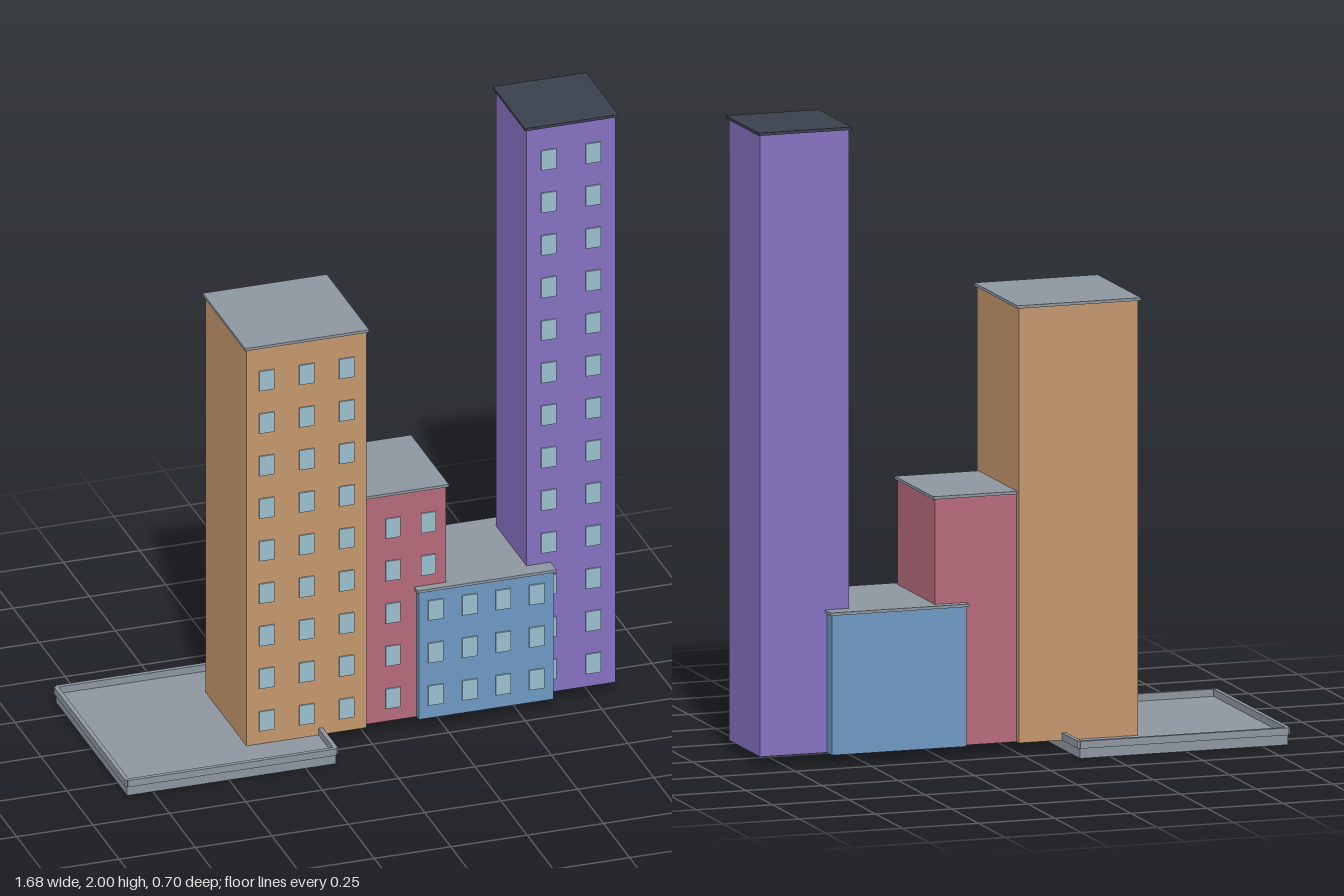
import * as THREE from 'three';

const mat = (name, color) => {
  const m = new THREE.MeshStandardMaterial({ color });
  m.name = name;
  return m;
};

export function createModel() {
  const roofGrey = mat('roof grey', 0x8d969f);
  const roofDark = mat('dark roof', 0x3a3f4d);
  const glass = mat('window glass', 0x9bbfd0);
  const city = new THREE.Group();
  city.name = 'cityBlock';

  const BASE = 0.032;    // ground level of the towers
  const FLOOR = 0.1473;  // storey height

  function box(parent, name, material, size, pos) {
    const mesh = new THREE.Mesh(new THREE.BoxGeometry(...size), material);
    mesh.position.set(...pos);
    mesh.name = name;
    parent.add(mesh);
  }

  // Tower: body, thin overhanging roof and a grid of front windows
  function tower({ name, color, x, w, d, top, cols, rows, roof = roofGrey }) {
    const g = new THREE.Group();
    g.name = name;
    g.position.x = x;
    const t = 0.009;
    const h = top - t - BASE;
    box(g, 'walls', mat(name + ' walls', color), [w, h, d], [0, BASE + h / 2, 0]);
    box(g, 'roof', roof, [w + 0.014, t, d + 0.014], [0, top - t / 2, 0]);
    for (let r = 0; r < rows; r++) {
      for (let c = 0; c < cols; c++) {
        const wx = ((c + 0.5) / cols - 0.5) * w;
        box(g, 'window', glass, [0.049, 0.068, 0.009], [wx, 0.111 + r * FLOOR, d / 2]);
      }
    }
    city.add(g);
  }

  tower({ name: 'orangeTower', color: 0xc4966c, x: -0.198, w: 0.392, d: 0.392, top: 1.412, cols: 3, rows: 9 });
  tower({ name: 'pinkTower', color: 0xb56a7a, x: 0.092, w: 0.348, d: 0.348, top: 0.823, cols: 3, rows: 5 });
  tower({ name: 'blueBlock', color: 0x6d98c3, x: 0.39, w: 0.441, d: 0.392, top: 0.482, cols: 4, rows: 3 });
  tower({ name: 'purpleTower', color: 0x8571c1, x: 0.684, w: 0.291, d: 0.294, top: 2, cols: 2, rows: 13, roof: roofDark });

  // Low plaza slab with a raised kerb centred on each edge
  const plaza = new THREE.Group();
  plaza.name = 'plaza';
  plaza.position.x = -0.493;
  const S = 0.683, K = 0.014, KH = 0.023;
  box(plaza, 'slab', roofGrey, [S, BASE, S], [0, BASE / 2, 0]);
  for (const s of [-1, 1]) {
    box(plaza, 'kerb', roofGrey, [S, KH, K], [0, BASE + KH / 2, s * S / 2]);
    box(plaza, 'kerb', roofGrey, [K, KH, S], [s * S / 2, BASE + KH / 2, 0]);
  }
  city.add(plaza);

  return city;
}
